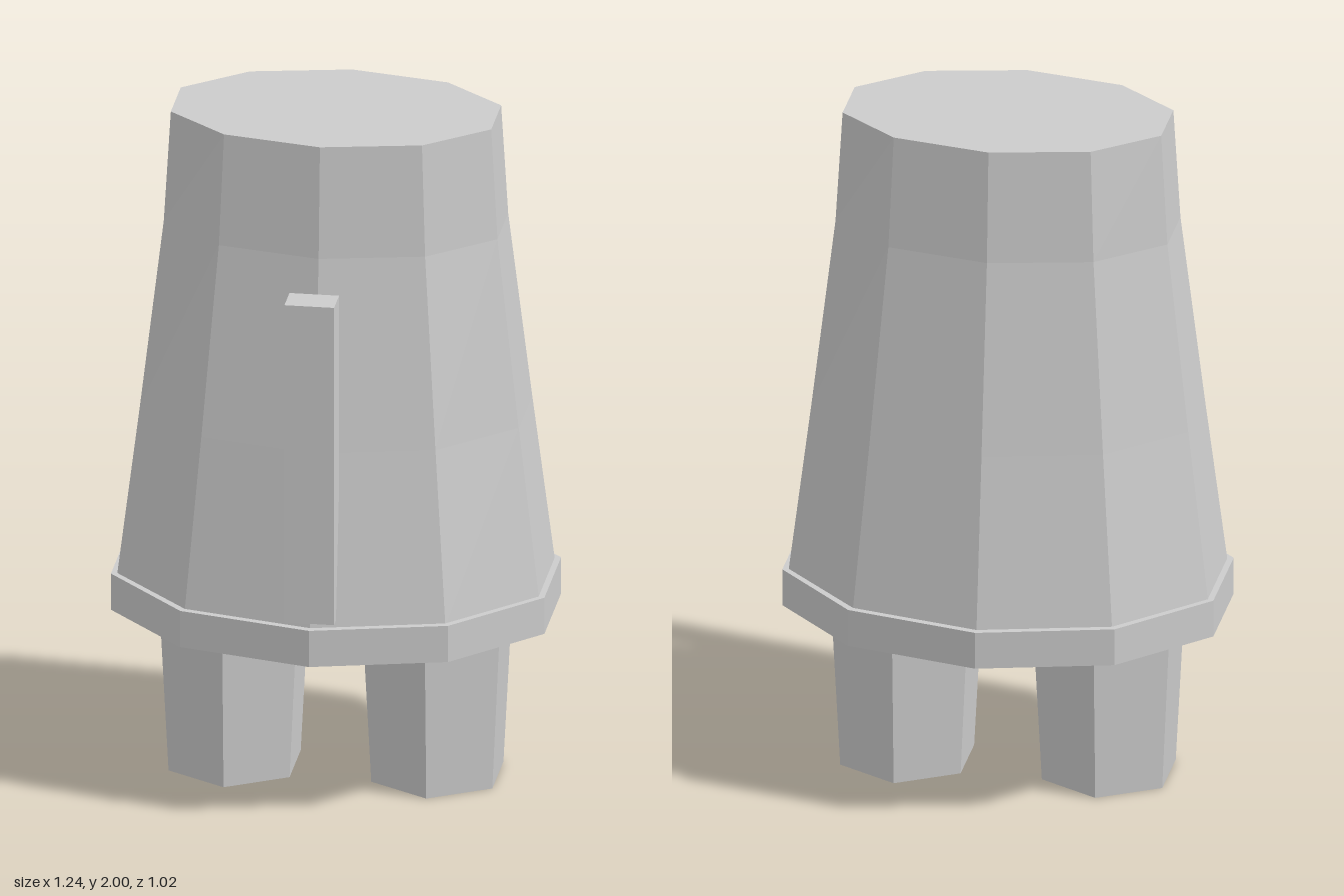
import * as THREE from 'three';

export function createModel() {
  const model = new THREE.Group();
  model.name = 'figureBody';
  const grey = new THREE.MeshStandardMaterial({ color: 0xcccccc, flatShading: true });
  grey.name = 'lightGrey';

  const add = (name, geometry, x, y, z) => {
    const mesh = new THREE.Mesh(geometry, grey);
    mesh.name = name;
    mesh.position.set(x, y, z);
    model.add(mesh);
    return mesh;
  };

  // Closed faceted solid of oval rings, each given as [y, x radius, z radius]
  const ovalSolid = (sides, rings) => {
    const first = rings[0], last = rings[rings.length - 1];
    const geo = new THREE.CylinderGeometry(1, 1, 1, sides, rings.length - 1);
    const p = geo.attributes.position;
    for (let i = 0; i < p.count; i++) {
      const t = (p.getY(i) + 0.5) * (rings.length - 1);
      const [y, rx, rz] = rings[Math.round(t)] ?? (t > 0 ? last : first);
      p.setXYZ(i, p.getX(i) * rx, y, p.getZ(i) * rz);
    }
    const flat = geo.toNonIndexed();
    flat.computeVertexNormals();
    return flat;
  };

  // Tapering ten-sided torso
  add('torso', ovalSolid(10, [
    [0.6, 0.635, 0.49],
    [1.11, 0.57, 0.411],
    [1.67, 0.502, 0.327],
    [2.0, 0.482, 0.303],
  ]), 0, 0, 0);

  // Hem around the bottom of the torso
  add('hem', ovalSolid(10, [[0.5, 0.652, 0.51], [0.61, 0.652, 0.51]]), 0, 0, 0);

  // Raised strip down the front
  add('frontStrip', new THREE.BoxGeometry(0.142, 0.965, 0.095), 0, 1.112, 0.457);

  // Two six-sided legs
  for (const [name, side] of [['leftLeg', 1], ['rightLeg', -1]]) {
    add(name, ovalSolid(6, [[0, 0.2, 0.21], [0.51, 0.228, 0.238]]), side * 0.29, 0, 0);
  }

  return model;
}
